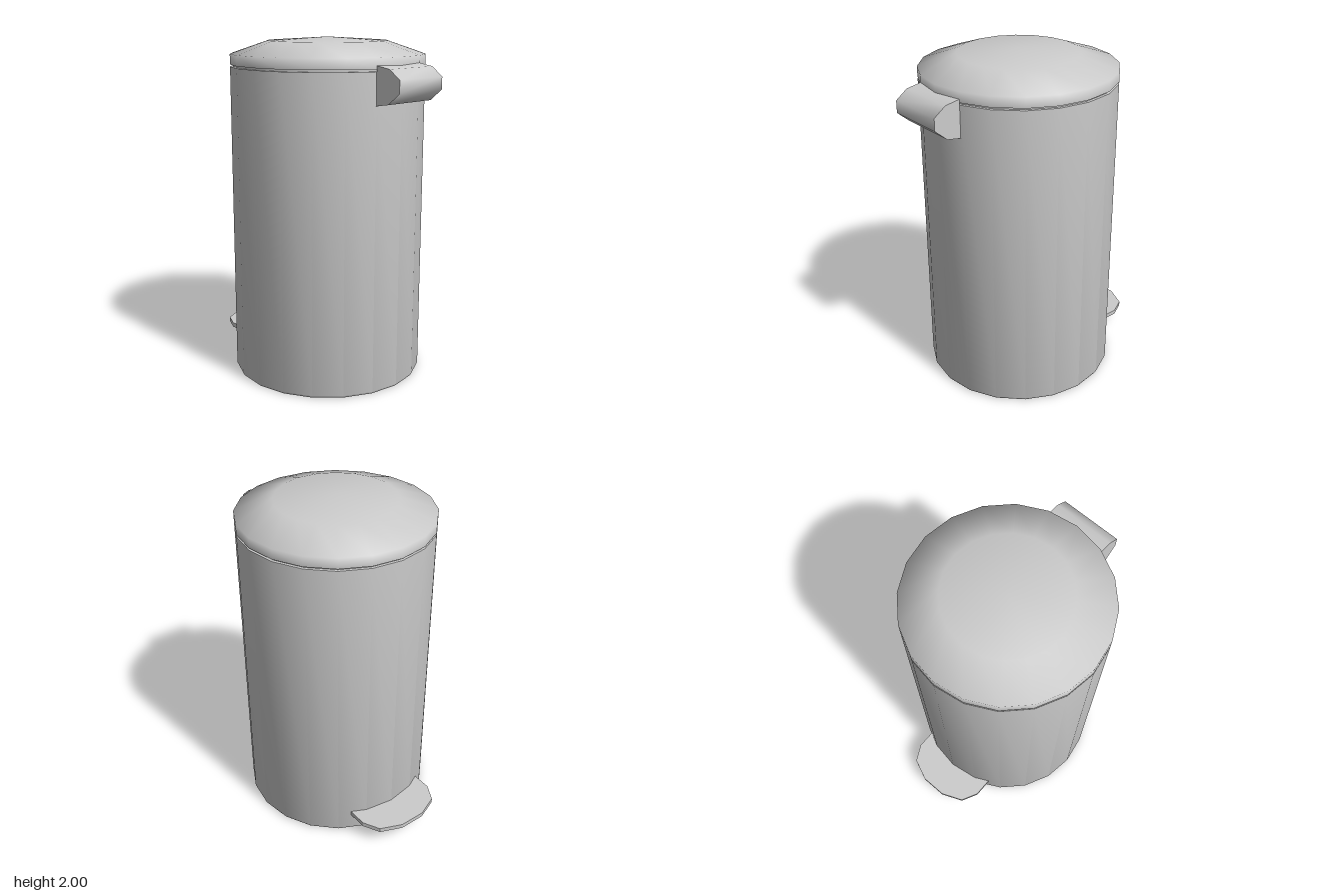
import * as THREE from 'three';
import { toCreasedNormals } from 'three/addons/utils/BufferGeometryUtils.js';

const SIDES = 20;
const AXIS_X = 0.033; // the can sits off centre so pedal and hinge balance
const R = 0.567;

const material = new THREE.MeshStandardMaterial({ color: 0xcccccc });
const points = (list) => list.map(([x, y]) => new THREE.Vector2(x, y));

function addPart(group, name, geometry, crease) {
  const mesh = new THREE.Mesh(toCreasedNormals(geometry, crease), material);
  mesh.name = name;
  group.add(mesh);
  return mesh;
}

function turned(profile) {
  return new THREE.LatheGeometry(points(profile), SIDES).translate(AXIS_X, 0, 0);
}

function slab(outline, depth) {
  return new THREE.ExtrudeGeometry(new THREE.Shape(points(outline)), { depth, bevelEnabled: false });
}

export function createModel() {
  const group = new THREE.Group();
  group.name = 'pedalBin';

  // Body with a tiny bottom chamfer and a recessed neck under the lid
  addPart(group, 'body', turned([
    [0, 0], [0.56, 0], [R, 0.012], [R, 1.833], [0.55, 1.833], [0.55, 1.85],
  ]), 0.6);

  // Domed lid with an upright rim
  addPart(group, 'lid', turned([
    [0, 1.845], [R, 1.845], [R, 1.905], [0.35, 1.979], [0, 2],
  ]), 1.3);

  // Hinge housing: a rounded profile extruded across the side
  addPart(group, 'hinge', slab([
    [0.572, 1.652], [0.655, 1.665], [0.73, 1.728], [0.73, 1.798], [0.66, 1.85], [0.572, 1.865],
  ], 0.358).translate(0, 0, -0.179), 1.1);

  // Foot pedal: half outline mirrored across z
  const half = [[-0.4, 0.262], [-0.58, 0.262], [-0.68, 0.21], [-0.735, 0.08]];
  const outline = [...half, ...half.map(([x, z]) => [x, -z]).reverse()];
  addPart(group, 'pedal', slab(outline, 0.028).rotateX(Math.PI / 2).translate(0, 0.14, 0), 0.4);

  return group;
}
